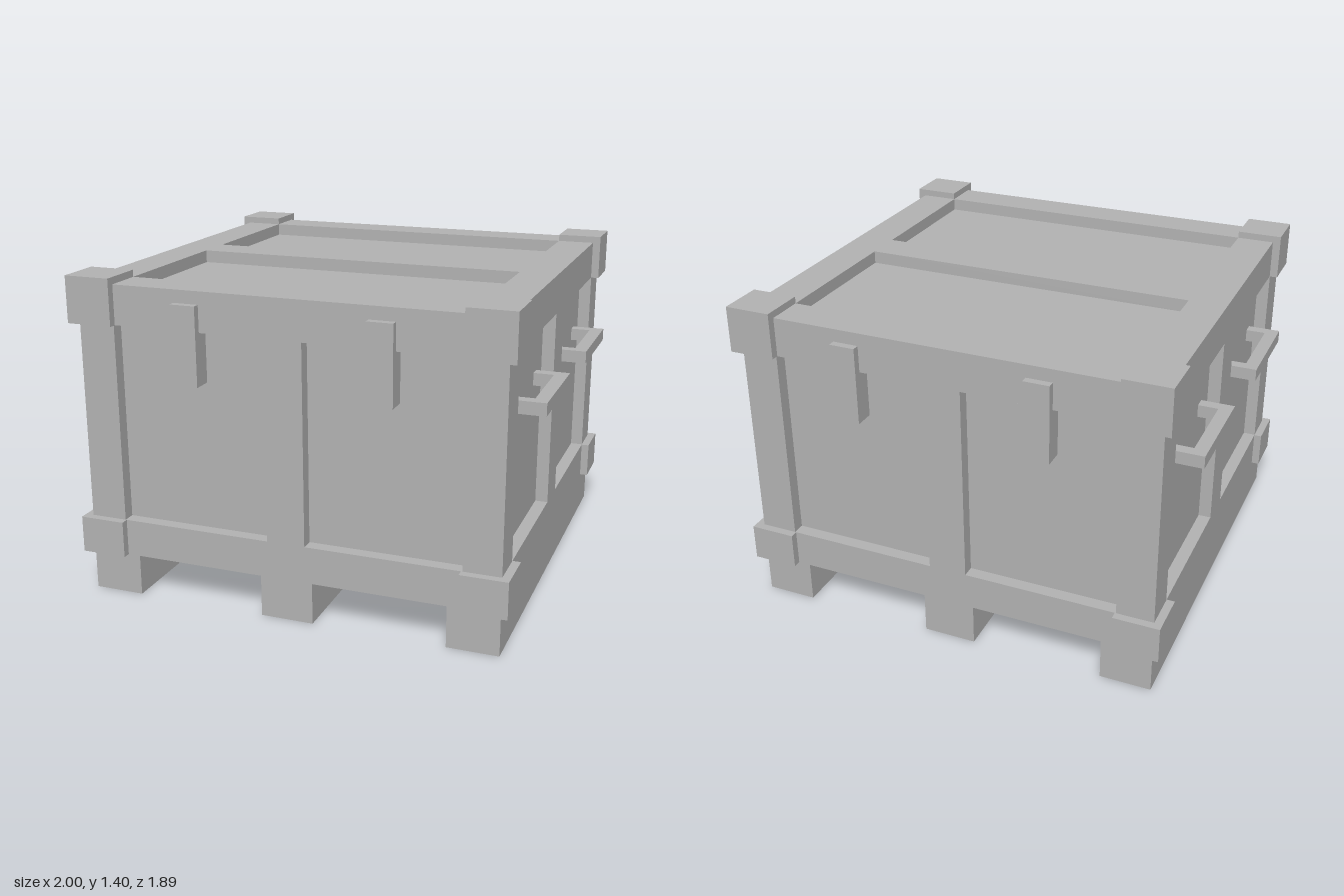
import * as THREE from 'three';

const HALF = 0.91, TOP = 1.37, FLOOR = 0.18, DEPTH = 0.055;
const OUT = 0.945, CORNER = 0.745;

export function createModel() {
  const crate = new THREE.Group();
  crate.name = 'crate';
  const grey = new THREE.MeshStandardMaterial({ color: 0xb2b2b2, side: THREE.DoubleSide });
  grey.name = 'grey';

  const add = (parent, name, geometry, x = 0, y = 0, z = 0) => {
    const mesh = new THREE.Mesh(geometry, grey);
    mesh.name = name;
    mesh.position.set(x, y, z);
    parent.add(mesh);
    return mesh;
  };
  // Box given by its lower and upper corners
  const block = (parent, name, a, b) => add(parent, name,
    new THREE.BoxGeometry(...a.map((v, i) => Math.abs(b[i] - v))),
    ...a.map((v, i) => (v + b[i]) / 2));
  // Flat face with rectangular openings, each backed by a sunken panel
  const panelledFace = (name, outline, openings) => {
    const group = new THREE.Group();
    group.name = name;
    const shape = new THREE.Shape(outline.map(p => new THREE.Vector2(...p)));
    for (const [x0, y0, x1, y1] of openings) {
      shape.holes.push(new THREE.Path([[x0, y0], [x0, y1], [x1, y1], [x1, y0]]
        .map(p => new THREE.Vector2(...p))));
      const tray = new THREE.BoxGeometry(x1 - x0, y1 - y0, DEPTH);
      const index = Array.from(tray.index.array);
      // Leave out the outer side, and turn the rest to face inwards
      const kept = [...index.slice(0, 24), ...index.slice(30)].reverse();
      tray.setIndex(kept);
      const normals = tray.attributes.normal;
      for (let i = 0; i < normals.array.length; i++) normals.array[i] *= -1;
      add(group, 'sunkenPanel', tray, (x0 + x1) / 2, (y0 + y1) / 2, -DEPTH / 2);
    }
    add(group, 'frame', new THREE.ShapeGeometry(shape));
    crate.add(group);
    return group;
  };

  const wallOpenings = [[-0.75, 0.34, -0.083, 1.2], [0.083, 0.34, 0.75, 1.2]];

  // Front and back walls, with the foot ends as part of the outline
  const footOutline = [
    [-HALF, 0], [-0.69, 0], [-0.69, FLOOR], [-0.115, FLOOR], [-0.115, 0],
    [0.115, 0], [0.115, FLOOR], [0.69, FLOOR], [0.69, 0], [HALF, 0],
    [HALF, TOP], [-HALF, TOP],
  ];
  for (const [name, turn] of [['frontWall', 0], ['backWall', Math.PI]]) {
    const wall = panelledFace(name, footOutline, wallOpenings);
    wall.rotation.y = turn;
    wall.position.z = HALF * Math.cos(turn);
    // Latches reach from the lid rim down over the panels
    for (const x of [-0.415, 0.415])
      block(wall, 'latch', [x - 0.055, 0.98, -DEPTH], [x + 0.055, 1.315, 0.032]);
  }

  // Side walls with bracket handles
  const sideOutline = [[-HALF, 0], [HALF, 0], [HALF, TOP], [-HALF, TOP]];
  for (const side of [-1, 1]) {
    const wall = panelledFace(side > 0 ? 'leftWall' : 'rightWall', sideOutline, wallOpenings);
    wall.rotation.y = side * Math.PI / 2;
    wall.position.x = side * HALF;
    for (const u of [-0.415, 0.415]) {
      const handle = new THREE.Group();
      handle.name = 'handle';
      handle.position.set(u, 0, 0);
      block(handle, 'handleBar', [-0.228, 0.92, 0.032], [0.228, 0.975, 0.09]);
      for (const s of [-1, 1])
        block(handle, 'handleArm', [s * 0.178, 0.92, -DEPTH], [s * 0.228, 0.975, 0.032]);
      wall.add(handle);
    }
  }

  // Lid with two long sunken panels
  const lid = panelledFace('lid',
    [[-HALF, -HALF], [HALF, -HALF], [HALF, HALF], [-HALF, HALF]],
    [[-0.745, -0.745, 0.745, -0.083], [-0.745, 0.083, 0.745, 0.745]]);
  lid.rotation.x = -Math.PI / 2;
  lid.position.y = TOP;

  // Underside between the hollow skids, and the skids' inner walls
  for (const s of [-1, 1]) {
    const floor = add(crate, 'underside',
      new THREE.PlaneGeometry(0.575, 2 * HALF), s * 0.4025, FLOOR, 0);
    floor.rotation.x = Math.PI / 2;
    for (const [x, facing] of [[0.69, -1], [0.115, 1]]) {
      const skid = add(crate, 'skidWall',
        new THREE.PlaneGeometry(2 * HALF, FLOOR), s * x, FLOOR / 2, 0);
      skid.rotation.y = s * facing * Math.PI / 2;
    }
  }

  // Corner guards, top and bottom
  for (const sx of [-1, 1])
    for (const sz of [-1, 1])
      for (const [name, y0, y1] of [['lowerCorner', FLOOR, 0.34], ['upperCorner', 1.2, 1.4]])
        block(crate, name, [sx * CORNER, y0, sz * CORNER], [sx * OUT, y1, sz * OUT]);

  return crate;
}
